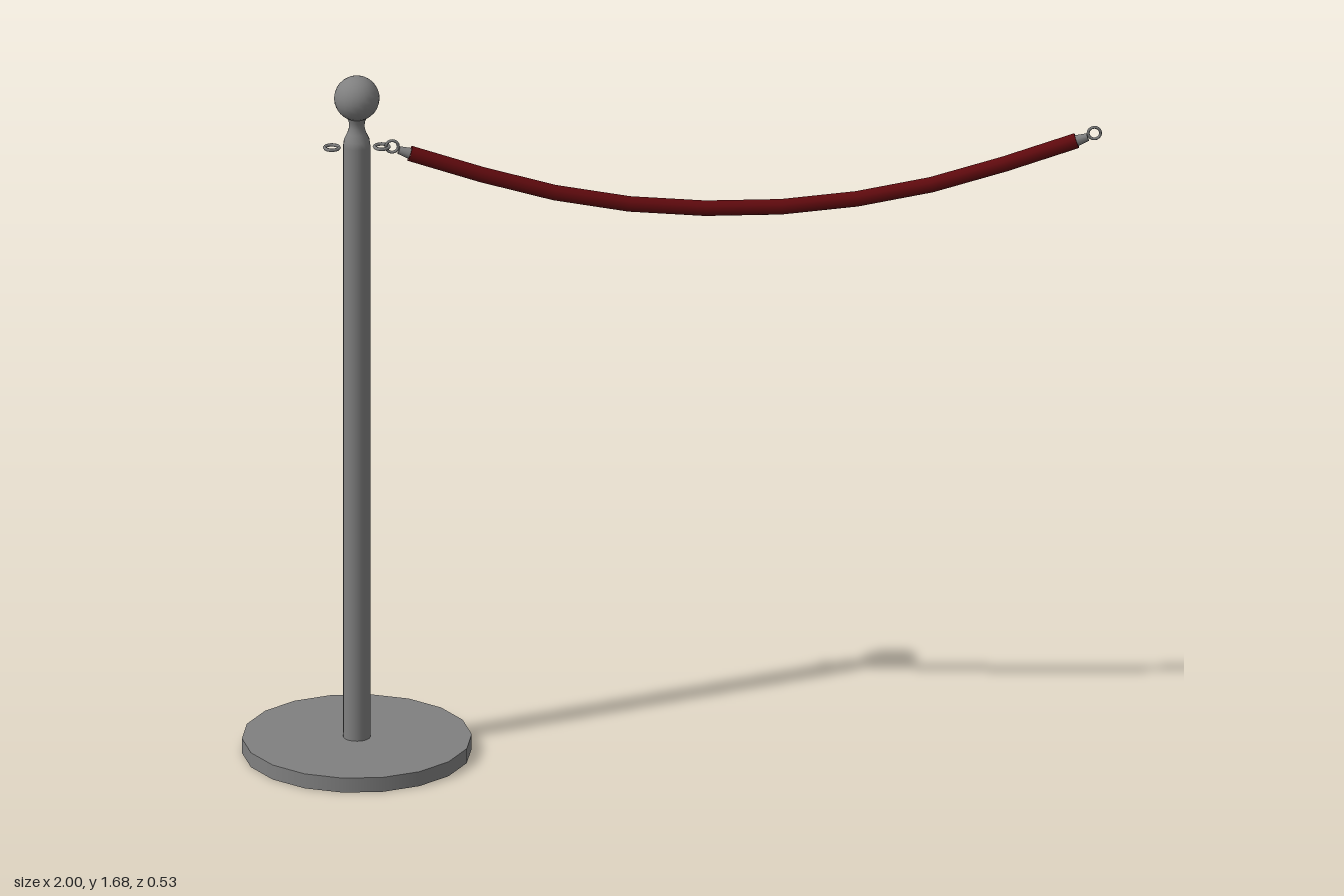
import * as THREE from 'three';

const metal = new THREE.MeshStandardMaterial({ color: 0x808080 });
metal.name = 'grey metal';
const velvet = new THREE.MeshStandardMaterial({ color: 0x600a0e });
velvet.name = 'dark red rope';

const POST_X = -0.733;
const UP = new THREE.Vector3(0, 1, 0);

function add(parent, name, geometry, material, x = 0, y = 0, z = 0) {
  const mesh = new THREE.Mesh(geometry, material);
  mesh.name = name;
  mesh.position.set(x, y, z);
  parent.add(mesh);
  return mesh;
}

// Tapered rod from point a to point b
function addRod(parent, name, a, b, radiusA, radiusB, material) {
  const dir = b.clone().sub(a);
  const mesh = add(parent, name, new THREE.CylinderGeometry(radiusB, radiusA, dir.length(), 10), material);
  mesh.position.copy(a).add(b).multiplyScalar(0.5);
  mesh.quaternion.setFromUnitVectors(UP, dir.normalize());
  return mesh;
}

function createPost() {
  const post = new THREE.Group();
  post.name = 'post';
  post.position.x = POST_X;

  // Disc base, with corners pointing along x
  const base = add(post, 'base', new THREE.CylinderGeometry(0.267, 0.267, 0.036, 18), metal, 0, 0.018, 0);
  base.rotation.y = Math.PI / 2;

  // Pole with a waisted neck below the ball
  const profile = [
    [0.032, 0.036], [0.032, 1.51], [0.03, 1.525], [0.022, 1.542],
    [0.018, 1.556], [0.019, 1.57], [0.026, 1.588],
  ].map(([r, y]) => new THREE.Vector2(r, y));
  add(post, 'pole', new THREE.LatheGeometry(profile, 18), metal);
  add(post, 'ball', new THREE.SphereGeometry(0.053, 20, 14), metal, 0, 1.628, 0);

  // Flat-lying eyelets on both sides of the pole
  for (const side of [-1, 1]) {
    const eyelet = add(post, side < 0 ? 'rightEyelet' : 'leftEyelet',
      new THREE.TorusGeometry(0.017, 0.004, 6, 16), metal, side * 0.058, 1.506, 0);
    eyelet.rotation.x = Math.PI / 2;
  }
  return post;
}

function createRope() {
  const group = new THREE.Group();
  group.name = 'ropeAssembly';

  // Sagging rope in straight segments
  const points = [
    [-0.61, 1.488], [-0.46, 1.437], [-0.29, 1.387], [-0.105, 1.352], [0.075, 1.337],
    [0.255, 1.337], [0.435, 1.354], [0.62, 1.389], [0.785, 1.437], [0.94, 1.488],
  ].map(([x, y]) => new THREE.Vector3(x, y, 0));
  const curve = new THREE.CatmullRomCurve3(points);
  add(group, 'rope', new THREE.TubeGeometry(curve, 9, 0.018, 10, false), velvet);

  // End caps, metal ferrules and upright rings
  for (const end of [0, 1]) {
    const side = end ? 'left' : 'right';
    const tip = points[end ? points.length - 1 : 0];
    const out = curve.getTangentAt(end).multiplyScalar(end ? 1 : -1);
    const cap = add(group, side + 'RopeCap', new THREE.CircleGeometry(0.018, 10), velvet);
    cap.position.copy(tip);
    cap.quaternion.setFromUnitVectors(new THREE.Vector3(0, 0, 1), out);

    const ferruleEnd = tip.clone().addScaledVector(out, 0.027);
    addRod(group, side + 'Ferrule', tip, ferruleEnd, 0.013, 0.009, metal);
    add(group, side + 'Ring', new THREE.TorusGeometry(0.0145, 0.0035, 6, 16), metal,
      end ? 0.981 : -0.651, 1.506, 0);
  }
  return group;
}

export function createModel() {
  const model = new THREE.Group();
  model.name = 'ropeBarrier';
  model.add(createPost(), createRope());
  return model;
}
